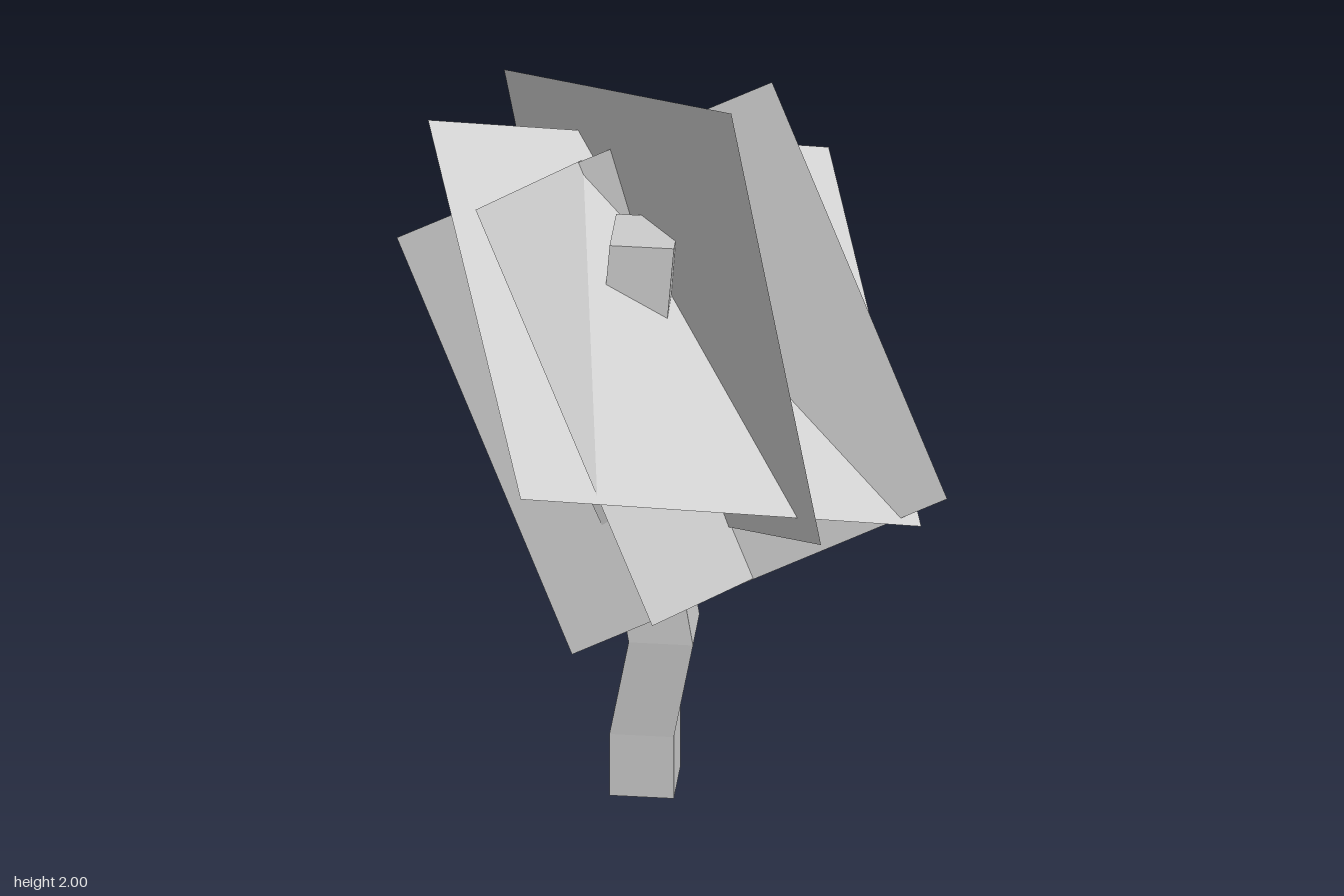
import * as THREE from 'three';

const CARD = 1.09; // side of each square foliage card

// Square card given by its centre and the directions of two edges
function foliageCard(name, centre, edgeU, edgeV, material) {
  const u = new THREE.Vector3(...edgeU).normalize();
  const n = new THREE.Vector3().crossVectors(u, new THREE.Vector3(...edgeV)).normalize();
  const v = new THREE.Vector3().crossVectors(n, u);
  const geometry = new THREE.PlaneGeometry(CARD, CARD);
  geometry.applyMatrix4(new THREE.Matrix4().makeBasis(u, v, n).setPosition(...centre));
  const mesh = new THREE.Mesh(geometry, material);
  mesh.name = name;
  return mesh;
}

// Square-section trunk lofted through rings [x, y, z, rise of the front edge over the back]
function trunkGeometry(rings, half) {
  const corners = [[-1, 1], [1, 1], [1, -1], [-1, -1]];
  const points = [];
  for (const [x, y, z, tilt] of rings)
    for (const [sx, sz] of corners)
      points.push(x + sx * half, y + sz * tilt / 2, z + sz * half);

  const index = [];
  for (let r = 0; r < rings.length - 1; r++)
    for (let c = 0; c < 4; c++) {
      const a = r * 4 + c, b = r * 4 + (c + 1) % 4;
      index.push(a, b, b + 4, a, b + 4, a + 4);
    }
  const t = (rings.length - 1) * 4;
  index.push(t, t + 1, t + 2, t, t + 2, t + 3); // top cap
  index.push(0, 2, 1, 0, 3, 2); // bottom cap

  const indexed = new THREE.BufferGeometry();
  indexed.setAttribute('position', new THREE.Float32BufferAttribute(points, 3));
  indexed.setIndex(index);
  const geometry = indexed.toNonIndexed();
  geometry.computeVertexNormals();
  return geometry;
}

export function createModel() {
  const model = new THREE.Group();
  model.name = 'lowPolyTree';

  // Crooked trunk
  const bark = new THREE.MeshStandardMaterial({ color: 0xcccccc, flatShading: true });
  const rings = [
    [-0.068, 0, -0.093, 0],
    [-0.068, 0.17, -0.093, 0],
    [-0.02, 0.435, -0.078, 0],
    [-0.064, 0.7, -0.085, 0],
    [-0.163, 0.93, -0.045, 0.08],
    [-0.09, 1.24, -0.08, 0],
    [-0.068, 1.52, -0.097, 0],
  ];
  const trunk = new THREE.Mesh(trunkGeometry(rings, 0.078), bark);
  trunk.name = 'trunk';
  model.add(trunk);

  // Crossing foliage cards: centre, edge direction, second edge direction
  const leaf = new THREE.MeshStandardMaterial({ color: 0xcccccc, side: THREE.DoubleSide });
  const foliage = new THREE.Group();
  foliage.name = 'foliage';
  const cards = [
    [[0, 1.16, -0.07], [0.92, 0.56, 0.14], [0.47, -0.88, 0.44]],
    [[-0.04, 1.175, 0], [0.47, -0.88, 0.43], [0.33, -0.31, -0.99]],
    [[-0.027, 1.305, -0.11], [0.245, -1.025, 0.275], [-0.63, -0.37, -0.805]],
    [[0.013, 1.322, -0.005], [0.315, -0.525, 0.9], [0.915, -0.3, -0.5]],
  ];
  cards.forEach(([centre, u, v], i) =>
    foliage.add(foliageCard(`foliageCard${i + 1}`, centre, u, v, leaf)));
  model.add(foliage);

  return model;
}
